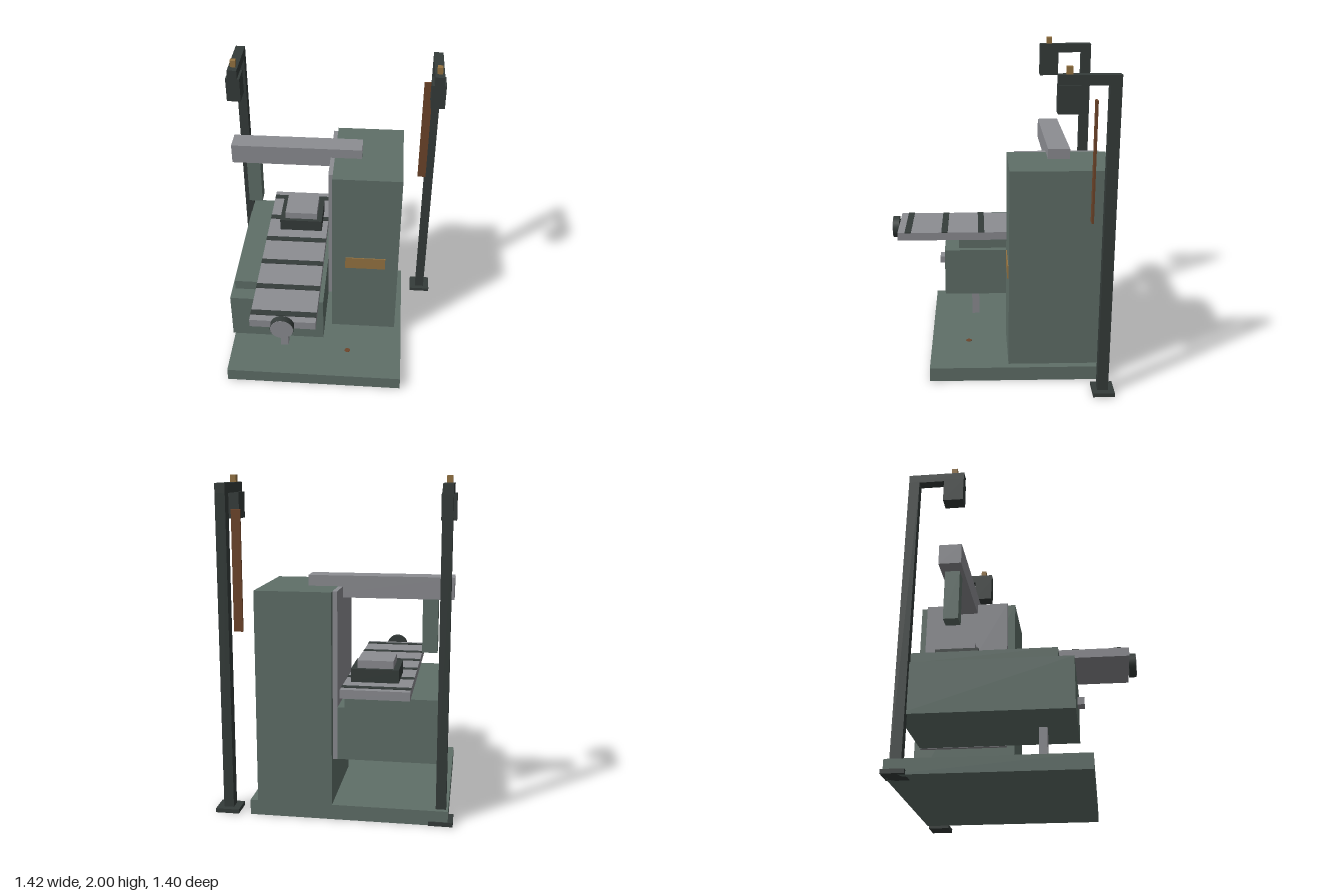
import * as THREE from 'three';

const material = (name, color) => {
  const m = new THREE.MeshStandardMaterial({ color });
  m.name = name;
  return m;
};

export function createModel() {
  const green = material('machine green', 0x5f6f68);
  const steel = material('steel grey', 0x8c8d92);
  const dark = material('dark iron', 0x353c3a);
  const brass = material('brass', 0x967442);
  const rust = material('rust copper', 0x6e452a);

  const model = new THREE.Group();
  model.name = 'millingMachine';

  // Box given by its extents along each axis
  const box = (name, mat, [x0, x1], [y0, y1], [z0, z1], parent = model) => {
    const mesh = new THREE.Mesh(new THREE.BoxGeometry(x1 - x0, y1 - y0, z1 - z0), mat);
    mesh.position.set((x0 + x1) / 2, (y0 + y1) / 2, (z0 + z1) / 2);
    mesh.name = name;
    parent.add(mesh);
    return mesh;
  };

  // Base and column
  box('base', green, [-0.68, 0.495], [0, 0.09], [-0.692, 0.433]);
  box('column', green, [0, 0.448], [0.09, 1.356], [-0.692, -0.062]);
  box('columnSlide', steel, [-0.028, 0], [0.36, 1.356], [-0.65, -0.11]);
  box('namePlate', brass, [0.09, 0.36], [0.635, 0.722], [-0.062, -0.056]);

  // Oil plug on the base
  const plug = new THREE.Mesh(new THREE.CylinderGeometry(0.019, 0.019, 0.003, 16), rust);
  plug.position.set(0.125, 0.09, 0.19);
  plug.name = 'oilPlug';
  model.add(plug);

  // Knee, its lift screw and handle, and the saddle
  box('knee', green, [-0.63, -0.028], [0.362, 0.677], [-0.65, 0.345]);
  box('liftScrew', steel, [-0.343, -0.29], [0.09, 0.362], [0.118, 0.168]);
  box('kneeHandle', steel, [-0.335, -0.257], [0.497, 0.542], [0.345, 0.385]);
  box('saddle', green, [-0.61, -0.068], [0.677, 0.742], [-0.65, 0.252]);

  // Work table with cross slots
  box('table', steel, [-0.452, -0.048], [0.742, 0.795], [-0.692, 0.657]);
  for (let i = 0; i < 6; i++) {
    const z = -0.626 + i * 0.243;
    box('tableSlot', dark, [-0.452, -0.048], [0.793, 0.799], [z - 0.021, z + 0.021]);
  }

  // Handwheel on the table end, with a bright face
  const wheel = new THREE.Group();
  wheel.name = 'handwheel';
  wheel.position.set(-0.25, 0.769, 0);
  for (const [name, mat, r, depth, z] of [
    ['wheelRim', dark, 0.072, 0.042, 0.678],
    ['wheelFace', steel, 0.07, 0.002, 0.7],
  ]) {
    const disc = new THREE.Mesh(new THREE.CylinderGeometry(r, r, depth, 28), mat);
    disc.rotation.x = Math.PI / 2;
    disc.position.z = z;
    disc.name = name;
    wheel.add(disc);
  }
  model.add(wheel);

  // Vise
  box('viseBody', dark, [-0.37, -0.085], [0.795, 0.875], [-0.51, -0.245]);
  box('viseJaw', steel, [-0.335, -0.12], [0.875, 0.922], [-0.485, -0.27]);

  // Overarm and hanging spindle head
  box('overarm', steel, [-0.68, 0.178], [1.29, 1.42], [-0.447, -0.31]);
  box('spindleHead', green, [-0.588, -0.498], [0.968, 1.29], [-0.424, -0.333]);

  // Lamp posts on both sides
  for (const side of [-1, 1]) {
    const post = new THREE.Group();
    post.name = side > 0 ? 'leftLampPost' : 'rightLampPost';
    post.position.x = side * 0.638;
    box('foot', dark, [-0.071, 0.071], [0, 0.025], [-0.7, -0.568], post);
    box('pole', dark, [-0.03, 0.03], [0.025, 1.9], [-0.663, -0.597], post);
    box('lampArm', dark, [-0.03, 0.03], [1.9, 1.957], [-0.663, -0.314], post);
    box('lampHousing', dark, [-0.044, 0.044], [1.745, 1.9], [-0.438, -0.314], post);
    box('lampCap', brass, [-0.017, 0.017], [1.957, 2], [-0.395, -0.36], post);
    model.add(post);
  }

  // Hanging copper strip beside the left post
  box('hangingStrip', rust, [0.557, 0.612], [1.085, 1.805], [-0.545, -0.533]);

  return model;
}
